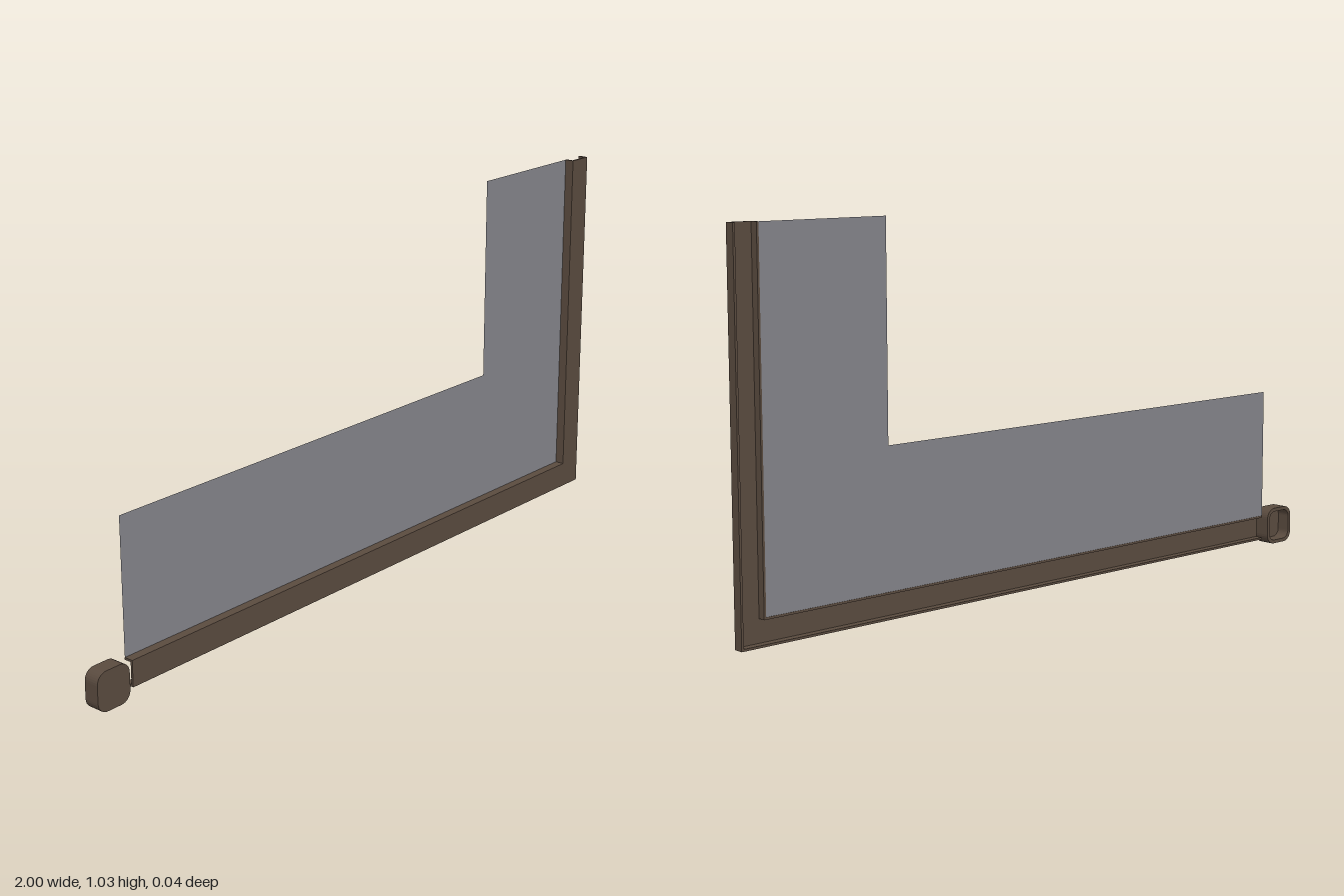
import * as THREE from 'three';

const X0 = -0.87, X1 = 1, Y0 = 0.02, Y1 = 1.03; // frame extents

// Extrude a shape between two z positions
function slab(name, shape, zBack, zFront, material) {
  const geo = new THREE.ExtrudeGeometry(shape, {
    depth: zFront - zBack, bevelEnabled: false, curveSegments: 4,
  });
  geo.translate(0, 0, zBack);
  const mesh = new THREE.Mesh(geo, material);
  mesh.name = name;
  return mesh;
}

const polygon = (pts) => new THREE.Shape(pts.map(([x, y]) => new THREE.Vector2(x, y)));

// L-shaped band lying between two insets from the outer corner
function band(a, b) {
  return polygon([
    [X0, Y0 + a], [X1 - a, Y0 + a], [X1 - a, Y1],
    [X1 - b, Y1], [X1 - b, Y0 + b], [X0, Y0 + b],
  ]);
}

// Rounded rectangle around a centre
function roundedRect(cx, cy, w, h, r, Type = THREE.Shape) {
  const s = new Type(), x = w / 2 - r, y = h / 2 - r;
  s.absarc(cx + x, cy + y, r, 0, Math.PI / 2);
  s.absarc(cx - x, cy + y, r, Math.PI / 2, Math.PI);
  s.absarc(cx - x, cy - y, r, Math.PI, Math.PI * 1.5);
  s.absarc(cx + x, cy - y, r, Math.PI * 1.5, Math.PI * 2);
  s.closePath();
  return s;
}

export function createModel() {
  const brown = new THREE.MeshStandardMaterial({ color: 0x5a4b3f });
  brown.name = 'brown frame';
  const grey = new THREE.MeshStandardMaterial({ color: 0x84848a, side: THREE.DoubleSide });
  grey.name = 'grey glass';

  const model = new THREE.Group();
  model.name = 'cornerPanel';

  // Channel frame, open at the back
  const frame = new THREE.Group();
  frame.name = 'frame';
  frame.add(
    slab('frameFace', band(0, 0.072), -0.001, 0.005, brown),
    slab('outerLip', band(0, 0.006), -0.022, -0.001, brown),
    slab('innerLip', band(0.066, 0.072), -0.022, -0.001, brown),
  );
  model.add(frame);

  // L-shaped pane set at the back of the inner lip
  const pane = new THREE.Mesh(new THREE.ShapeGeometry(polygon([
    [X0, 0.092], [0.928, 0.092], [0.928, Y1], [0.55, Y1], [0.55, 0.463], [X0, 0.463],
  ])), grey);
  pane.name = 'pane';
  pane.position.z = -0.021;
  model.add(pane);

  // Small rounded end cap, hollow from the back
  const cx = -0.9475, cy = 0.0535;
  const outline = () => roundedRect(cx, cy, 0.105, 0.107, 0.03);
  const rim = outline();
  rim.holes.push(roundedRect(cx, cy, 0.085, 0.087, 0.022, THREE.Path));
  const cap = new THREE.Group();
  cap.name = 'endCap';
  cap.add(
    slab('capRim', rim, -0.022, 0.016, brown),
    slab('capFace', outline(), 0.016, 0.022, brown),
  );
  model.add(cap);

  return model;
}
